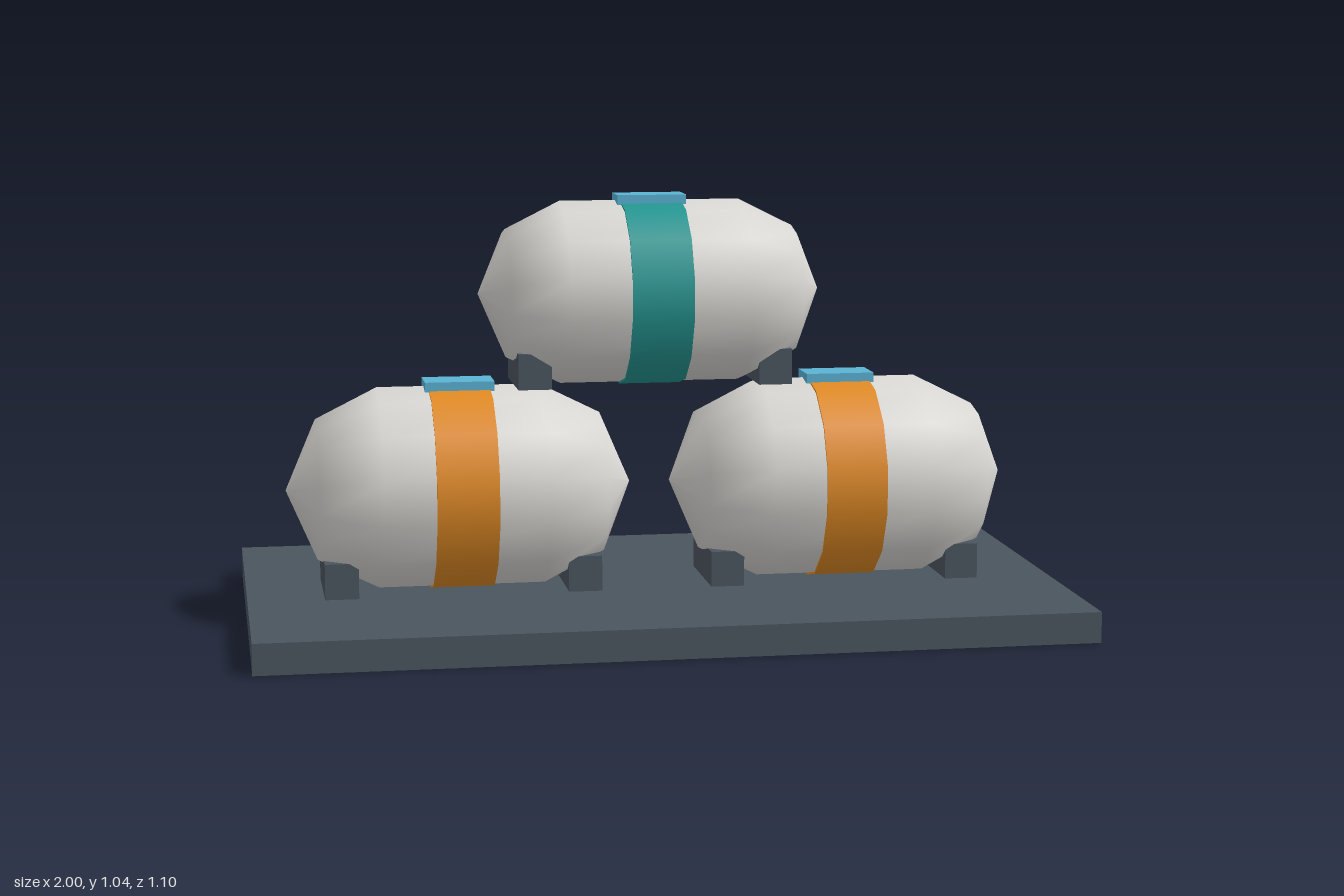
import * as THREE from 'three';

const material = (name, color, side = THREE.FrontSide) => {
  const m = new THREE.MeshStandardMaterial({ color, side });
  m.name = name;
  return m;
};

export function createModel() {
  const steel = material('dark steel', 0x4a555f, THREE.DoubleSide);
  const shell = material('pale shell', 0xd9d8d4);
  const orange = material('orange', 0xe08a24);
  const teal = material('teal', 0x249692);
  const blue = material('light blue', 0x5bb3d4);

  const SIDES = 14;

  const add = (parent, name, geometry, mat, x, y, z = 0) => {
    const mesh = new THREE.Mesh(geometry, mat);
    mesh.name = name;
    mesh.position.set(x, y, z);
    parent.add(mesh);
    return mesh;
  };

  // Box without its underside
  const openBox = (w, h, d) => {
    const g = new THREE.BoxGeometry(w, h, d);
    const index = Array.from(g.index.array);
    index.splice(18, 6);
    g.setIndex(index);
    g.clearGroups();
    return g;
  };

  // Lying tank with band, top hatch and two saddles; origin at its centre
  const makeTank = (name, r, bandMaterial) => {
    const tank = new THREE.Group();
    tank.name = name;
    const half = 0.425;
    const straight = half - 0.9 * r;

    const profile = [
      [0, -half], [0.7 * r, -straight - 0.6 * r], [r, -straight],
      [r, straight], [0.7 * r, straight + 0.6 * r], [0, half],
    ].map(([px, py]) => new THREE.Vector2(px, py));
    const body = new THREE.LatheGeometry(profile, SIDES, Math.PI / 2);
    body.rotateZ(Math.PI / 2);
    add(tank, 'tankBody', body, shell, 0, 0);

    const band = new THREE.CylinderGeometry(r + 0.005, r + 0.005, 0.15, SIDES, 1, false, Math.PI / 2);
    band.rotateZ(Math.PI / 2);
    add(tank, 'band', band, bandMaterial, 0, 0);

    add(tank, 'hatch', new THREE.BoxGeometry(0.17, 0.024, 0.4 * r), blue, 0, r + 0.003);

    for (const side of [-1, 1]) {
      add(tank, 'saddle', openBox(0.082, 0.0875, r), steel, side * 0.2975, -r + 0.04375);
    }
    return tank;
  };

  const model = new THREE.Group();
  model.name = 'tankStack';

  // Base slab, open below
  add(model, 'base', openBox(2, 0.075, 1.1), steel, 0, 0.0375);

  // Two lower tanks
  for (const side of [-1, 1]) {
    const tank = makeTank(side > 0 ? 'lowerLeftTank' : 'lowerRightTank', 0.25, orange);
    tank.position.set(side * 0.475, 0.325, 0);
    model.add(tank);
  }

  // Upper tank
  const upper = makeTank('upperTank', 0.225, teal);
  upper.position.y = 0.8;
  model.add(upper);

  return model;
}
